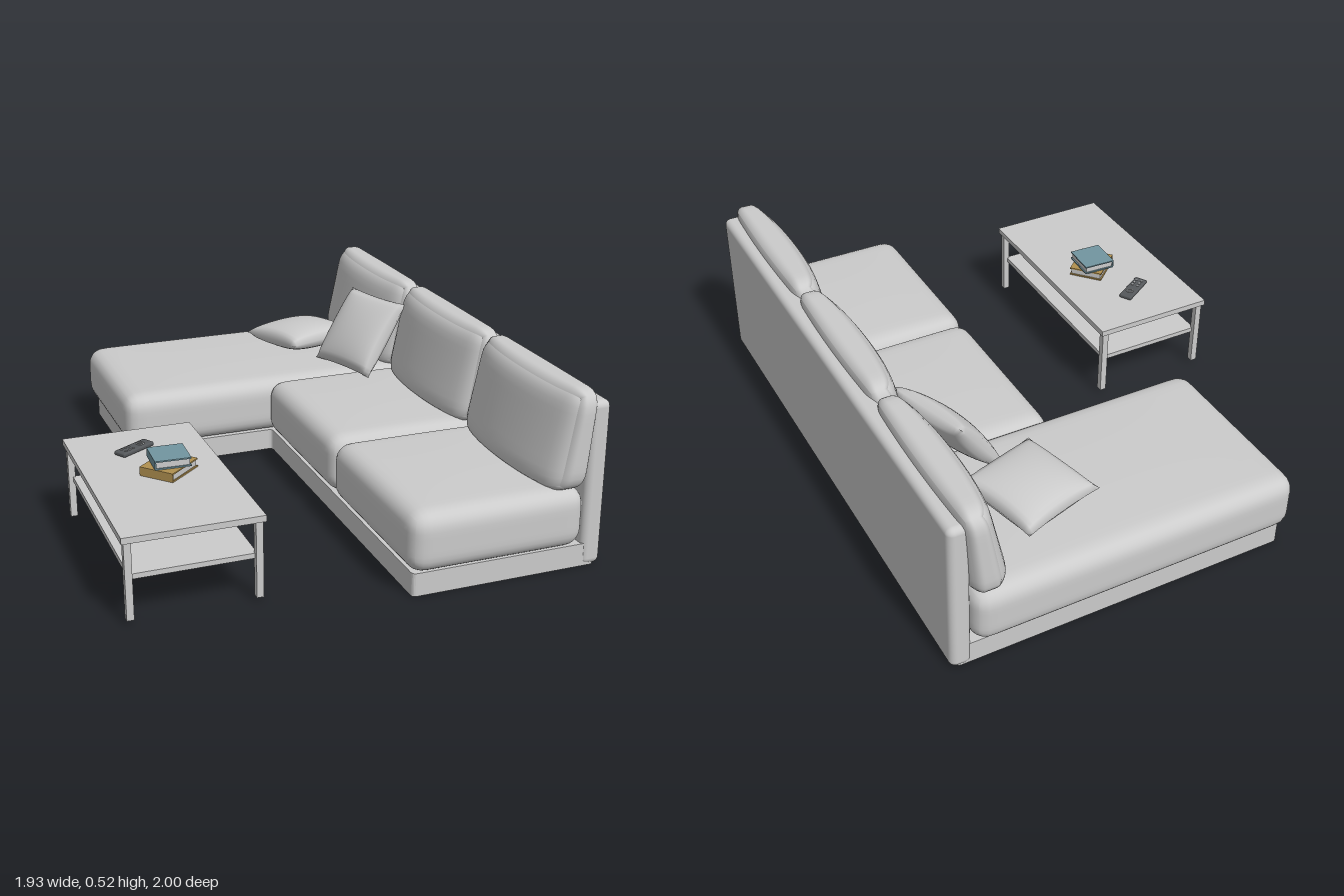
import * as THREE from 'three';
import { mergeVertices } from 'three/addons/utils/BufferGeometryUtils.js';
import { RoundedBoxGeometry } from 'three/addons/geometries/RoundedBoxGeometry.js';

const material = (color) => new THREE.MeshStandardMaterial({ color });
const grey = material(0xcccccc);

function add(parent, name, geometry, mat = grey, x = 0, y = 0, z = 0) {
  const mesh = new THREE.Mesh(geometry, mat);
  mesh.name = name;
  mesh.position.set(x, y, z);
  parent.add(mesh);
  return mesh;
}

// Moves every vertex of a geometry by a rule and smooths the result
function deform(geometry, rule) {
  const p = geometry.attributes.position;
  const v = new THREE.Vector3();
  for (let i = 0; i < p.count; i++) {
    v.fromBufferAttribute(p, i);
    rule(v);
    p.setXYZ(i, v.x, v.y, v.z);
  }
  geometry.deleteAttribute('uv');
  geometry.deleteAttribute('normal');
  const merged = mergeVertices(geometry, 1e-5);
  merged.computeVertexNormals();
  return merged;
}

// Padded box with round edges; shape(v, unit) adjusts it further
function softBox(w, h, d, r, shape) {
  const half = new THREE.Vector3(w / 2, h / 2, d / 2);
  const core = half.clone().subScalar(r);
  const low = core.clone().negate();
  const inner = new THREE.Vector3();
  return deform(new THREE.BoxGeometry(2, 2, 2, 24, 16, 24), (v) => {
    const ease = (t) => Math.sin((t * Math.PI) / 2);
    v.set(ease(v.x), ease(v.y), ease(v.z));
    const unit = v.clone();
    v.multiply(half);
    inner.copy(v).clamp(low, core);
    v.sub(inner).setLength(r).add(inner);
    shape(v, unit);
  });
}

// Square throw pillow with thin, slightly concave edges and pointed corners
function pillowGeometry(size, thickness) {
  return deform(new THREE.BoxGeometry(2, 2, 2, 20, 2, 20), (v) => {
    const { x, z } = v;
    const fx = 1 - x * x, fz = 1 - z * z;
    v.x = (x * size / 2) * (1 - 0.045 * fz);
    v.z = (z * size / 2) * (1 - 0.045 * fx);
    v.y *= (thickness / 2) * Math.pow(fx * fz, 0.38);
  });
}

function addPillow(parent, name, size, thickness, center, xAxis, zAxis) {
  const x = new THREE.Vector3(...xAxis).normalize();
  const y = new THREE.Vector3(...zAxis).cross(x).normalize();
  const z = x.clone().cross(y);
  const mesh = add(parent, name, pillowGeometry(size, thickness), grey, ...center);
  mesh.quaternion.setFromRotationMatrix(new THREE.Matrix4().makeBasis(x, y, z));
}

// L-shaped plinth outline, drawn inside its edge by the given inset
function plinthOutline(inset, Type) {
  const i = inset;
  const corners = [
    [-0.858 + i, 0.56 - i], [-0.858 + i, -0.462 + i], [-0.325 - i, -0.462 + i],
    [-0.325 - i, 0.005 + i], [0.785 - i, 0.005 + i], [0.785 - i, 0.56 - i],
  ].map(([x, y]) => new THREE.Vector2(x, y));
  const path = new Type();
  corners.forEach((c, k) => {
    const toward = (o) => o.clone().sub(c).setLength(0.015).add(c);
    const before = toward(corners[(k + 5) % 6]);
    const after = toward(corners[(k + 1) % 6]);
    if (k === 0) path.moveTo(before.x, before.y);
    else path.lineTo(before.x, before.y);
    path.quadraticCurveTo(c.x, c.y, after.x, after.y);
  });
  path.closePath();
  return path;
}

function buildSofa() {
  const sofa = new THREE.Group();
  sofa.name = 'sofa';

  // Plinth: thin walls and a deck, open underneath
  const walls = plinthOutline(0, THREE.Shape);
  walls.holes.push(plinthOutline(0.005, THREE.Path));
  const wallGeometry = new THREE.ExtrudeGeometry(walls, { depth: 0.068, bevelEnabled: false, curveSegments: 5 });
  add(sofa, 'plinthWalls', wallGeometry.rotateX(-Math.PI / 2));
  const deckMaterial = new THREE.MeshStandardMaterial({ color: 0xcccccc, side: THREE.DoubleSide });
  const deck = new THREE.ShapeGeometry(plinthOutline(0.002, THREE.Shape), 5);
  add(sofa, 'plinthDeck', deck.rotateX(-Math.PI / 2), deckMaterial, 0, 0.067, 0);

  // Back board
  add(sofa, 'backBoard', new RoundedBoxGeometry(1.652, 0.485, 0.062, 4, 0.02), grey, -0.037, 0.2425, -0.547);

  // Seat cushions: left edge, right edge, front edge
  const seats = [
    ['chaiseCushion', -0.885, -0.308, 0.487],
    ['middleSeatCushion', -0.335, 0.241, 0.01],
    ['endSeatCushion', 0.235, 0.808, 0.01],
  ];
  for (const [name, x0, x1, front] of seats) {
    const depth = front + 0.515;
    const geometry = softBox(x1 - x0, 0.177, depth, 0.052, (v, u) => {
      if (u.y > 0) v.y += 0.006 * (1 - u.x ** 2) * (1 - u.z ** 2);
    });
    add(sofa, name, geometry, grey, (x0 + x1) / 2, 0.154, front - depth / 2);
  }

  // Back cushions, swollen in front, tapering upward and leaning over the board
  for (const x of [-0.601, -0.036, 0.523]) {
    const geometry = softBox(0.574, 0.288, 0.16, 0.055, (v, u) => {
      const up = (u.y + 1) / 2;
      const k = 1 - 0.28 * u.x ** 2 - 0.12 * u.x ** 4;
      v.z = -0.08 + (v.z + 0.08) * k * (1 - 0.3 * up) + 0.01 * u.x ** 2 - 0.026 * up;
      v.x *= 1 - 0.015 * up;
    });
    add(sofa, 'backCushion', geometry, grey, x, 0.378, -0.444);
  }
  return sofa;
}

function buildTable() {
  const table = new THREE.Group();
  table.name = 'coffeeTable';
  const w = 0.706, d = 0.386;
  add(table, 'tableTop', new THREE.BoxGeometry(w, 0.018, d), grey, 0, 0.24, 0);
  add(table, 'shelf', new THREE.BoxGeometry(w - 0.04, 0.015, d - 0.04), grey, 0, 0.128, 0);
  for (const sx of [-1, 1]) {
    for (const sz of [-1, 1]) {
      add(table, 'tableLeg', new THREE.BoxGeometry(0.02, 0.223, 0.02), grey,
        sx * (w / 2 - 0.017), 0.1215, sz * (d / 2 - 0.017));
    }
  }
  table.position.set(0.313, 0, 0.553);
  return table;
}

function buildBook(name, color, w, h, d) {
  const book = new THREE.Group();
  book.name = name;
  const cover = material(color);
  const t = 0.004;
  add(book, 'pages', new THREE.BoxGeometry(w - 0.008, h - 2 * t, d - 0.008), grey, 0, h / 2, 0);
  for (const y of [t / 2, h - t / 2]) add(book, 'cover', new THREE.BoxGeometry(w, t, d), cover, 0, y, 0);
  add(book, 'spine', new THREE.BoxGeometry(t, h, d), cover, -w / 2 + t / 2, h / 2, 0);
  return book;
}

function buildRemote() {
  const remote = new THREE.Group();
  remote.name = 'remoteControl';
  add(remote, 'remoteBody', new RoundedBoxGeometry(0.042, 0.013, 0.122, 3, 0.005), material(0x55585b), 0, 0.0065, 0);
  const buttonMaterial = material(0xa5a7a9);
  const button = new THREE.CylinderGeometry(0.004, 0.004, 0.003, 12);
  for (let row = 0; row < 3; row++) {
    for (const side of [-1, 1]) {
      add(remote, 'button', button, buttonMaterial, side * 0.009, 0.0135, 0.012 + row * 0.015);
    }
  }
  const ring = new THREE.TorusGeometry(0.01, 0.0025, 6, 20).rotateX(Math.PI / 2);
  add(remote, 'dial', ring, buttonMaterial, 0, 0.013, -0.025);
  return remote;
}

export function createModel() {
  const model = new THREE.Group();
  model.name = 'sofaSet';

  // Sofa and table share one turned frame
  const turned = new THREE.Group();
  turned.name = 'seatingGroup';
  turned.rotation.y = -0.7245;
  turned.add(buildSofa(), buildTable());
  model.add(turned);

  // Throw pillows
  addPillow(model, 'lyingPillow', 0.27, 0.088, [-0.315, 0.296, -0.57], [0.91, 0.06, 0.415], [-0.415, 0, 0.91]);
  addPillow(model, 'leaningPillow', 0.27, 0.088, [-0.05, 0.36, -0.49], [0.915, 0, 0.403], [-0.06, -0.21, 0.14]);

  // Things on the table
  const lower = buildBook('lowerBook', 0xb0904f, 0.128, 0.026, 0.108);
  lower.position.set(-0.12, 0.249, 0.585);
  lower.rotation.y = Math.PI / 2;
  const upper = buildBook('upperBook', 0x7295a0, 0.103, 0.026, 0.108);
  upper.position.set(-0.124, 0.275, 0.577);
  upper.rotation.y = 0.8;
  const remote = buildRemote();
  remote.position.set(-0.29, 0.249, 0.505);
  remote.rotation.y = -0.17;
  model.add(lower, upper, remote);
  return model;
}
